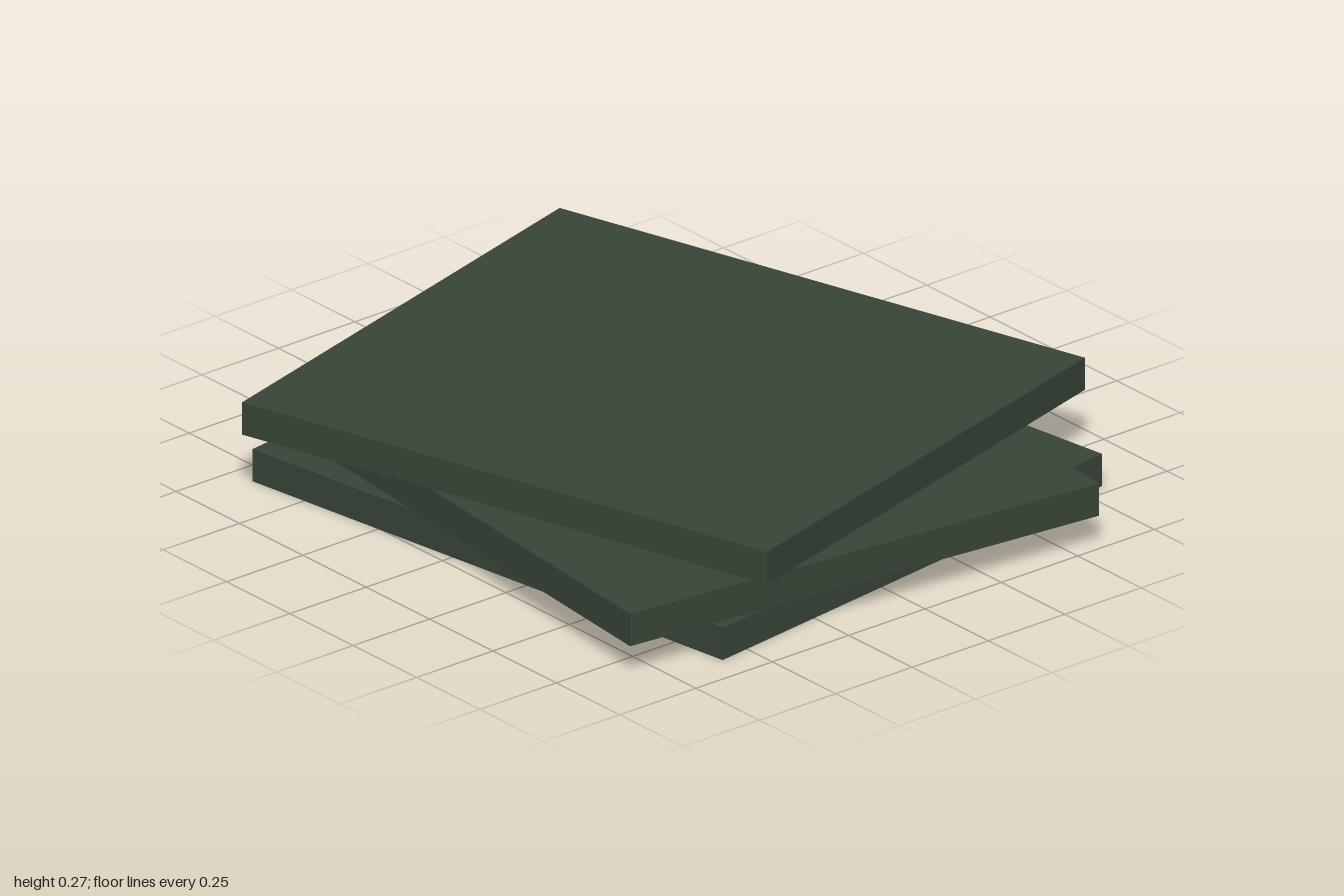
import * as THREE from 'three';

const WIDTH = 1.602, DEPTH = 1.42, THICKNESS = 0.0893;

export function createModel() {
  const model = new THREE.Group();
  model.name = 'slabStack';

  const darkGreen = new THREE.MeshStandardMaterial({ color: 0x384437 });
  darkGreen.name = 'dark green';

  // Identical slabs stacked loosely, each shifted and turned: x, z, turn in degrees
  const slabs = [
    ['bottomSlab', 0.02, -0.002, 8],
    ['middleSlab', 0.126, 0.05, -6],
    ['topSlab', -0.035, -0.002, 16],
  ];
  const geometry = new THREE.BoxGeometry(WIDTH, THICKNESS, DEPTH);

  slabs.forEach(([name, x, z, turn], i) => {
    const slab = new THREE.Mesh(geometry, darkGreen);
    slab.name = name;
    slab.position.set(x, (i + 0.5) * THICKNESS, z);
    slab.rotation.y = THREE.MathUtils.degToRad(turn);
    model.add(slab);
  });

  return model;
}
